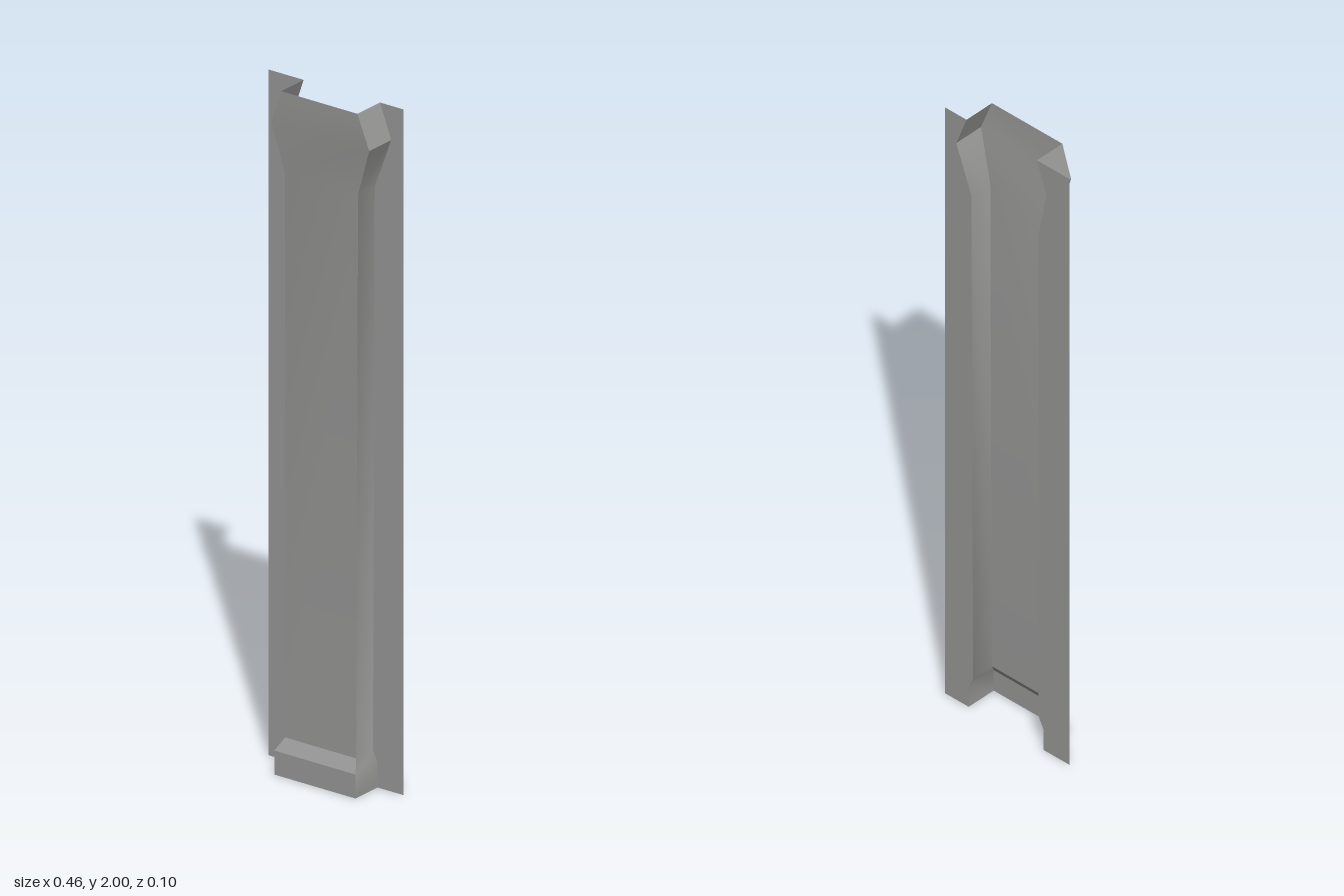
import * as THREE from 'three';
import { toCreasedNormals } from 'three/addons/utils/BufferGeometryUtils.js';

// Cross-section rows from bottom to top: y, -x edge, +x edge, front depth
const ROWS = [
  [0, -0.134, 0.142, 0.048],
  [0.07, -0.134, 0.142, 0.048],
  [0.105, -0.116, 0.126, 0.024],
  [1.75, -0.116, 0.132, 0.024],
  [1.9, -0.145, 0.188, 0.047],
  [2, -0.11, 0.15, 0.05],
];
const BACK = -0.05;
const HALF_WIDTH = 0.23;

// Sheet between two edges, each a function of a row returning [x, z]
function strip(name, material, edgeA, edgeB) {
  const positions = [];
  const indices = [];
  ROWS.forEach((row, i) => {
    for (const edge of [edgeA, edgeB]) {
      const [x, z] = edge(row);
      positions.push(x, row[0], z);
    }
    if (i > 0) {
      const k = (i - 1) * 2;
      indices.push(k, k + 1, k + 3, k, k + 3, k + 2);
    }
  });
  const geometry = new THREE.BufferGeometry();
  geometry.setAttribute('position', new THREE.Float32BufferAttribute(positions, 3));
  geometry.setIndex(indices);
  const mesh = new THREE.Mesh(toCreasedNormals(geometry, 0.45), material);
  mesh.name = name;
  return mesh;
}

export function createModel() {
  const group = new THREE.Group();
  group.name = 'pilaster';

  const stone = new THREE.MeshStandardMaterial({ color: 0x999998, side: THREE.DoubleSide });
  stone.name = 'grey stone';

  // Edge lines of the folded sheet, from -x to +x
  const outerRight = () => [-HALF_WIDTH, BACK];
  const backRight = (r) => [r[1], BACK];
  const frontRight = (r) => [r[1], r[3]];
  const frontLeft = (r) => [r[2], r[3]];
  const backLeft = (r) => [r[2], BACK];
  const outerLeft = () => [HALF_WIDTH, BACK];

  group.add(
    strip('rightFlange', stone, outerRight, backRight),
    strip('rightSide', stone, backRight, frontRight),
    strip('shaftFront', stone, frontRight, frontLeft),
    strip('leftSide', stone, frontLeft, backLeft),
    strip('leftFlange', stone, backLeft, outerLeft),
  );
  return group;
}
